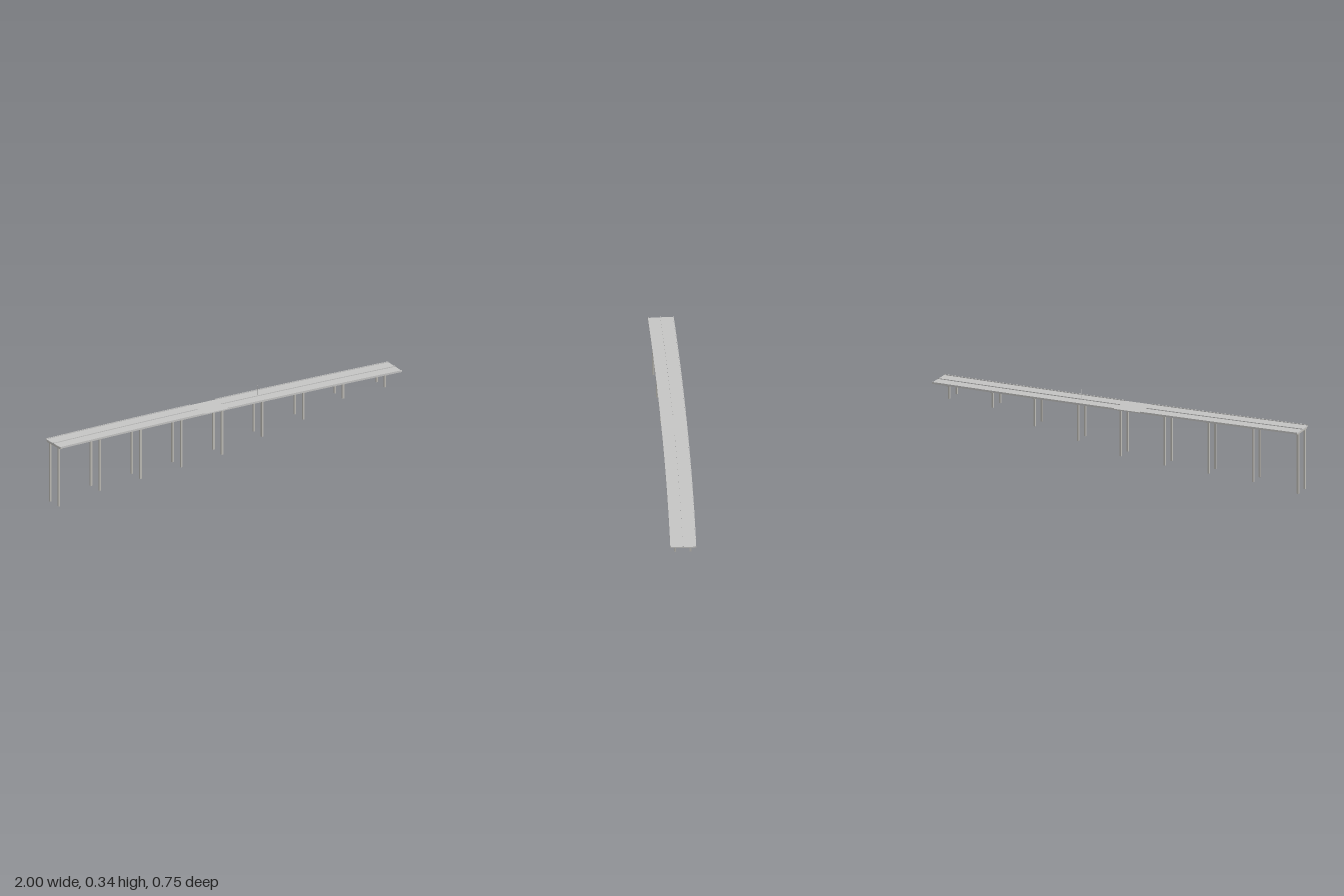
import * as THREE from 'three';

const concrete = new THREE.MeshStandardMaterial({ color: 0xc4c4c3 });
concrete.name = 'concrete';
const pierConcrete = new THREE.MeshStandardMaterial({ color: 0xbcbab4 });
pierConcrete.name = 'pier concrete';

// Road centreline in plan and its falling grade, as functions of x
const END = 0.98;
const planZ = (x) => -0.3185 * x - 0.015 * (1 - (x / END) ** 2);
const planAngle = (x) => Math.atan(0.3185 - (0.03 * x) / END ** 2);
const roadY = (x) => 0.2895 - 0.0423 * x + 0.001 * (1 - (x / END) ** 2);

// Point beside the centreline: positive offsets lie towards +z
function roadPoint(x, offset, height) {
  const a = planAngle(x);
  return [x + Math.sin(a) * offset, roadY(x) + height, planZ(x) + Math.cos(a) * offset];
}

// Rectangular section swept along the road from x0 to x1
function sweep(name, x0, x1, left, right, bottom, top) {
  const corners = [[left, bottom], [right, bottom], [right, top], [left, top]];
  const steps = Math.max(2, Math.ceil((x1 - x0) / 0.1));
  const position = [];
  const quad = (a, b, c, d) => position.push(...a, ...b, ...c, ...a, ...c, ...d);
  const ring = (i) => corners.map(([o, h]) => roadPoint(x0 + ((x1 - x0) * i) / steps, o, h));
  quad(...ring(0));
  quad(...ring(steps).reverse());
  for (let i = 0; i < steps; i++) {
    const p = ring(i);
    const q = ring(i + 1);
    for (let j = 0; j < 4; j++) {
      const k = (j + 1) % 4;
      quad(p[j], q[j], q[k], p[k]);
    }
  }
  const geometry = new THREE.BufferGeometry();
  geometry.setAttribute('position', new THREE.Float32BufferAttribute(position, 3));
  geometry.computeVertexNormals();
  const mesh = new THREE.Mesh(geometry, concrete);
  mesh.name = name;
  return mesh;
}

// Two square columns under a cross beam
function makePier(x, foot) {
  const pier = new THREE.Group();
  pier.name = 'pier';
  const top = roadY(x) - 0.007;
  const height = top - foot;
  for (const side of [-1, 1]) {
    const column = new THREE.Mesh(new THREE.BoxGeometry(0.0095, height, 0.0095), pierConcrete);
    column.position.set(0, foot + height / 2, side * 0.038);
    column.name = 'column';
    pier.add(column);
  }
  const beam = new THREE.Mesh(new THREE.BoxGeometry(0.011, 0.006, 0.112), pierConcrete);
  beam.position.y = top - 0.002;
  beam.name = 'crossBeam';
  pier.add(beam);
  pier.position.set(x, 0, planZ(x));
  pier.rotation.y = planAngle(x);
  return pier;
}

export function createModel() {
  const bridge = new THREE.Group();
  bridge.name = 'bridge';

  // Deck slab
  bridge.add(sweep('deck', -END, END, -0.065, 0.065, -0.006, 0));

  // Edge kerbs and median, interrupted near mid-span
  for (const [x0, x1] of [[-END, -0.15], [-0.01, END]]) {
    bridge.add(sweep('edgeBarrier', x0, x1, -0.065, -0.062, 0, 0.004));
    bridge.add(sweep('edgeBarrier', x0, x1, 0.062, 0.065, 0, 0.004));
    bridge.add(sweep('median', x0, x1, -0.0025, 0.0025, 0, 0.004));
  }

  // Piers, standing on rising ground: [x, foot height]
  const piers = [
    [-0.974, 0], [-0.738, 0.022], [-0.502, 0.025], [-0.268, 0.027], [-0.033, 0.035],
    [0.197, 0.075], [0.432, 0.11], [0.66, 0.167], [0.899, 0.17],
  ];
  for (const [x, foot] of piers) bridge.add(makePier(x, foot));

  // Slim pole on the median
  const base = roadY(0.197);
  const pole = new THREE.Mesh(new THREE.CylinderGeometry(0.0007, 0.0007, 0.338 - base, 6), concrete);
  pole.position.set(0.197, (0.338 + base) / 2, planZ(0.197));
  pole.name = 'pole';
  bridge.add(pole);

  return bridge;
}
